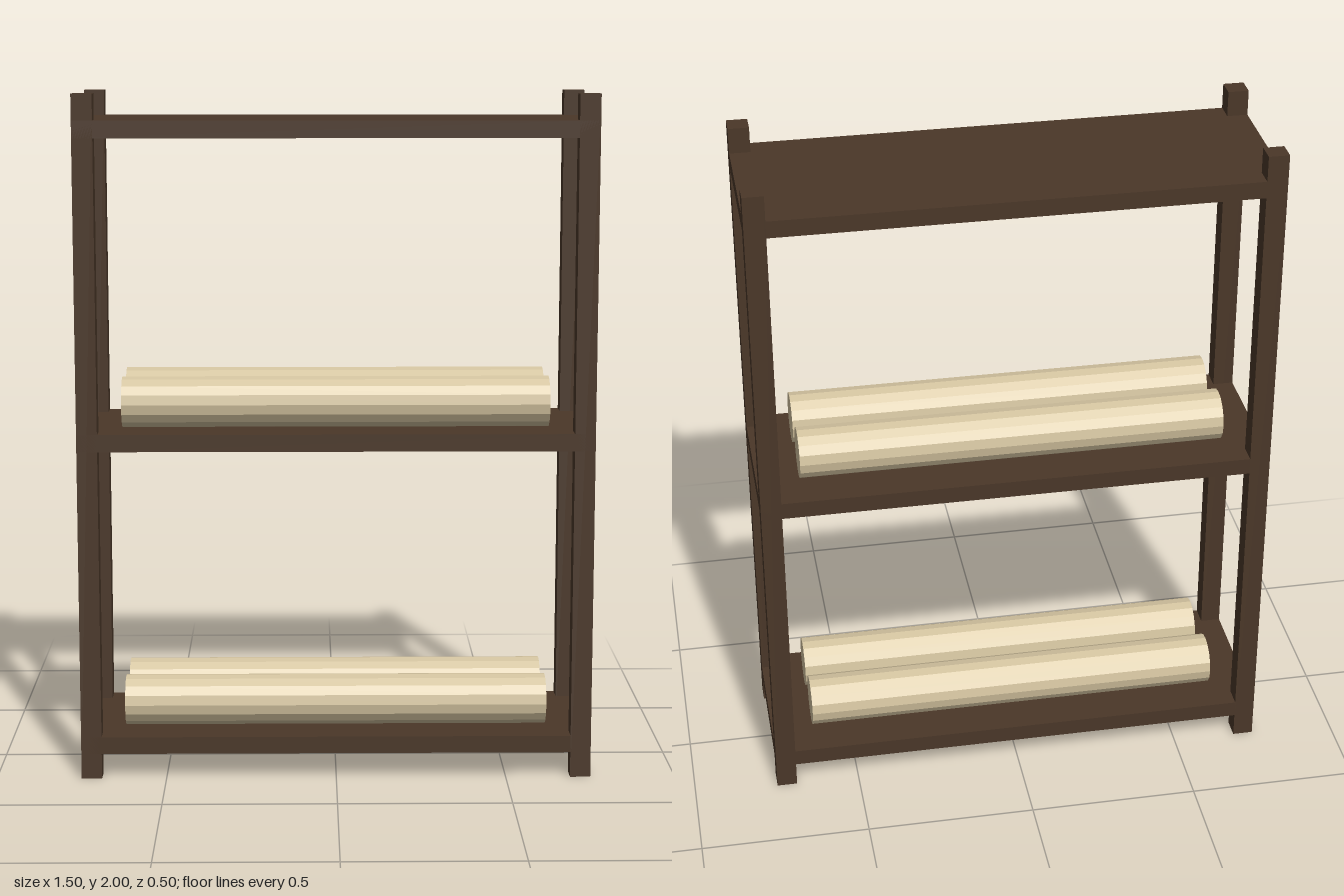
import * as THREE from 'three';

export function createModel() {
  const rack = new THREE.Group();
  rack.name = 'storageRack';
  const wood = new THREE.MeshStandardMaterial({ color: 0x4a3728 });
  const cloth = new THREE.MeshStandardMaterial({ color: 0xd4c4a0, flatShading: true });
  const W = 1.5, H = 2, D = 0.5, POST = 0.06, BOARD = 0.05;
  const ROLL_R = 0.075, ROLL_L = 1.25;

  const add = (name, geometry, material, x, y, z) => {
    const mesh = new THREE.Mesh(geometry, material);
    mesh.name = name;
    mesh.position.set(x, y, z);
    rack.add(mesh);
  };

  // Four corner posts, flush with the shelf edges
  const postGeo = new THREE.BoxGeometry(POST, H, POST);
  for (const sx of [-1, 1]) {
    for (const sz of [-1, 1]) {
      const name = (sz > 0 ? 'front' : 'back') + (sx > 0 ? 'Left' : 'Right') + 'Post';
      add(name, postGeo, wood, sx * (W - POST) / 2, H / 2, sz * (D - POST) / 2);
    }
  }

  // Three shelves
  const shelfGeo = new THREE.BoxGeometry(W, BOARD, D);
  const levels = { lower: 0.1, middle: 1, upper: 1.9 };
  for (const [level, y] of Object.entries(levels)) add(level + 'Shelf', shelfGeo, wood, 0, y, 0);

  // A pair of long rolls lying on each of the two lower shelves
  const rollGeo = new THREE.CylinderGeometry(ROLL_R, ROLL_R, ROLL_L, 16).rotateZ(Math.PI / 2);
  for (const level of ['lower', 'middle']) {
    const y = levels[level] + BOARD / 2 + ROLL_R;
    add(level + 'FrontRoll', rollGeo, cloth, 0, y, 0.1);
    add(level + 'BackRoll', rollGeo, cloth, 0, y, -0.1);
  }
  return rack;
}
